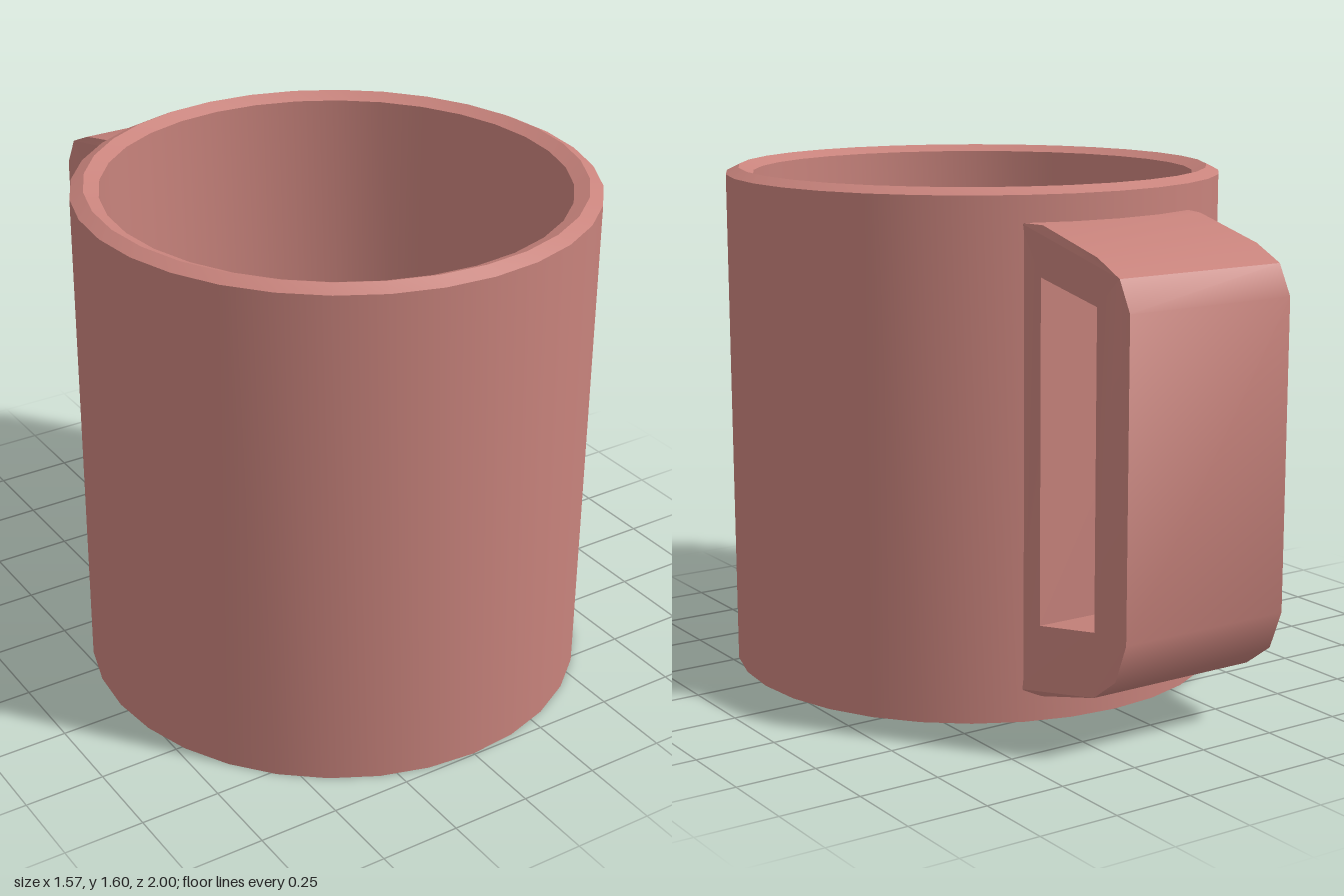
import * as THREE from 'three';
import { toCreasedNormals } from 'three/addons/utils/BufferGeometryUtils.js';

const points = (list) => list.map(([x, y]) => new THREE.Vector2(x, y));

export function createModel() {
  const clay = new THREE.MeshStandardMaterial({ color: 0xc8837c });
  clay.name = 'dusty rose clay';
  const mug = new THREE.Group();
  mug.name = 'mug';

  // Cup: base, outer wall, bevelled rim, inner wall and floor in one profile
  const cupGeometry = new THREE.LatheGeometry(points([
    [0, 0], [0.785, 0], [0.785, 1.58], [0.745, 1.6], [0.7, 1.58], [0.7, 0.09], [0, 0.09],
  ]), 32);
  const cup = new THREE.Mesh(toCreasedNormals(cupGeometry, 0.5), clay);
  cup.name = 'cup';
  cup.position.z = 0.21;
  mug.add(cup);

  // Handle: closed loop in side profile (distance behind centre, height)
  const loop = new THREE.Shape(points([
    [0.5, 0.1], [0.59, 0.1], [0.85, 0.17], [0.952, 0.245], [1, 0.365],
    [1, 1.3], [0.952, 1.39], [0.85, 1.437], [0.59, 1.5], [0.5, 1.5],
  ]));
  loop.holes.push(new THREE.Path(points([
    [0.58, 0.315], [0.58, 1.35], [0.85, 1.3], [0.85, 0.365],
  ])));
  const width = 0.57;
  const handleGeometry = new THREE.ExtrudeGeometry(loop, { depth: width, bevelEnabled: false });
  handleGeometry.translate(0, 0, -width / 2).rotateY(Math.PI / 2);

  // Flare the root slightly where it meets the cup
  const position = handleGeometry.attributes.position;
  for (let i = 0; i < position.count; i++) {
    if (position.getZ(i) > -0.55) position.setX(i, position.getX(i) * 1.06);
  }
  const handle = new THREE.Mesh(toCreasedNormals(handleGeometry, 0.6), clay);
  handle.name = 'handle';
  mug.add(handle);

  return mug;
}
